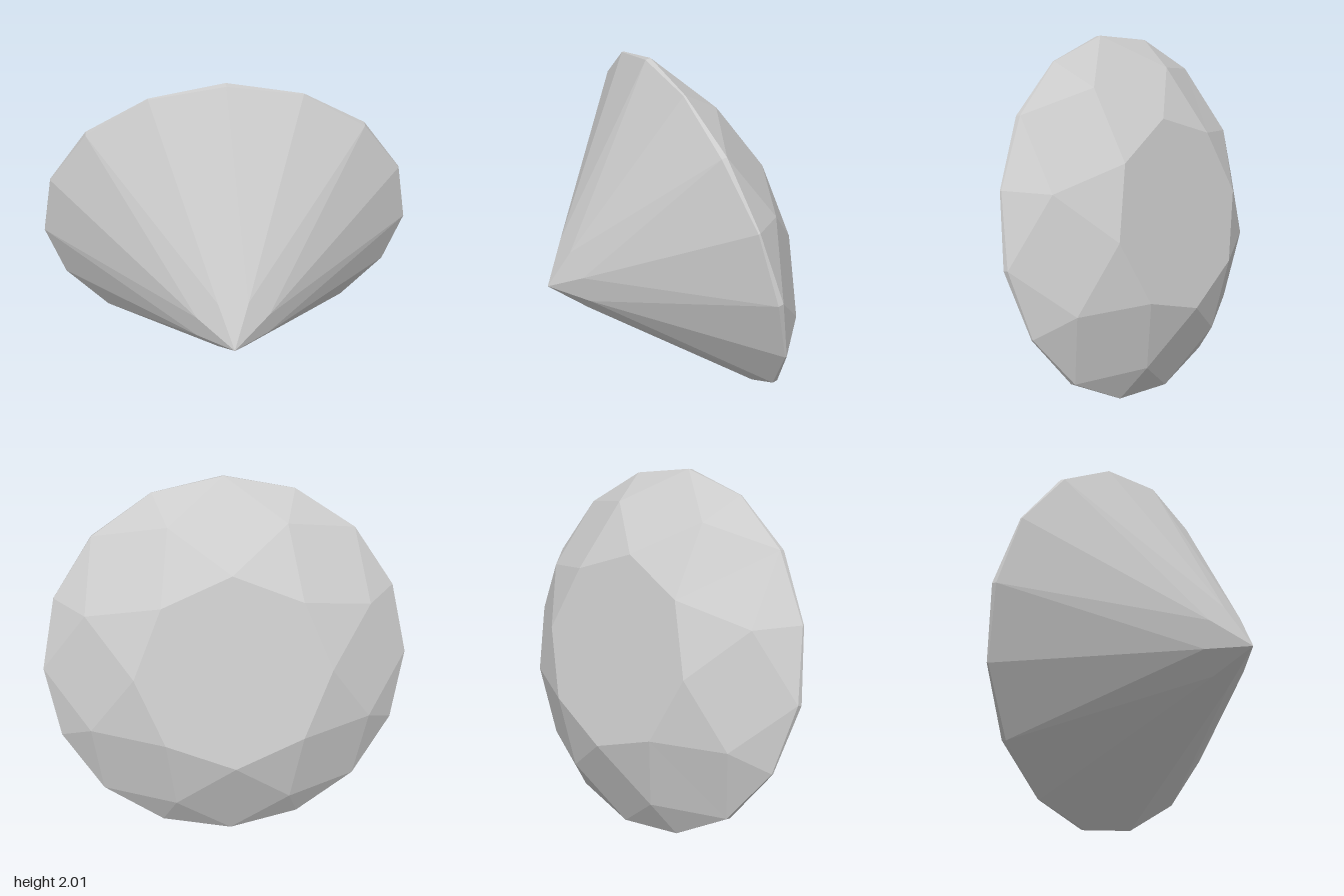
import * as THREE from 'three';

// Brilliant-cut gem: heights are measured along its axis from the pointed tip.
const STEP = Math.PI / 8;
const R = 1.03;
const point = (radius, height, step) =>
  new THREE.Vector3(radius * Math.cos(step * STEP), height, -radius * Math.sin(step * STEP));

const tip = new THREE.Vector3(0, 0, 0);
const table = (s) => point(0.54, 1.241, s);          // even steps
const star = (s) => point(0.847, 1.078, s);          // odd steps
const girdleTop = (s) => point(R, s % 2 ? 0.902 : 0.911, s);
const girdleLow = (s) => point(R, s % 2 ? 0.892 : 0.882, s);
const lowerStar = (s) => point(0.2 * R, 0.2 * 0.882 * Math.cos(STEP), s); // odd steps

// Each facet is a convex polygon, turned so that it faces away from the core.
const core = new THREE.Vector3(0, 0.8, 0);
function facets(name, polygons, material) {
  const positions = [];
  for (const poly of polygons) {
    for (let i = 1; i < poly.length - 1; i++) {
      const [a, b, c] = [poly[0], poly[i], poly[i + 1]];
      const normal = b.clone().sub(a).cross(c.clone().sub(a));
      const outward = normal.dot(a.clone().sub(core)) > 0;
      for (const p of outward ? [a, b, c] : [a, c, b]) positions.push(p.x, p.y, p.z);
    }
  }
  const geometry = new THREE.BufferGeometry();
  geometry.setAttribute('position', new THREE.Float32BufferAttribute(positions, 3));
  geometry.computeVertexNormals();
  const mesh = new THREE.Mesh(geometry, material);
  mesh.name = name;
  return mesh;
}

export function createModel() {
  const material = new THREE.MeshStandardMaterial({ color: 0xcccccc, flatShading: true });
  const parts = {
    tableFacet: [[]], starFacets: [], kiteFacets: [], upperGirdleFacets: [],
    girdle: [], lowerGirdleFacets: [], pavilionMains: [],
  };

  for (let s = 0; s < 16; s += 2) {
    // Crown
    parts.tableFacet[0].push(table(s));
    parts.starFacets.push([table(s), table(s + 2), star(s + 1)]);
    parts.kiteFacets.push([table(s), star(s - 1), girdleTop(s), star(s + 1)]);
    // Pavilion
    parts.pavilionMains.push([tip, lowerStar(s - 1), girdleLow(s), lowerStar(s + 1)]);
    // Half facets and the thin scalloped girdle on both sides of this step
    for (const d of [-1, 1]) {
      const odd = s + d;
      parts.upperGirdleFacets.push([star(odd), girdleTop(s), girdleTop(odd)]);
      parts.girdle.push([girdleTop(s), girdleTop(odd), girdleLow(odd), girdleLow(s)]);
      parts.lowerGirdleFacets.push([lowerStar(odd), girdleLow(s), girdleLow(odd)]);
    }
  }

  const gem = new THREE.Group();
  gem.name = 'gem';
  for (const [name, polygons] of Object.entries(parts)) gem.add(facets(name, polygons, material));

  // Tilt the axis, with one girdle corner turned toward the left side
  const axis = new THREE.Vector3(0.522, 0.234, -0.82).normalize();
  const side = new THREE.Vector3(0.85, 0.009, 0.527);
  side.addScaledVector(axis, -side.dot(axis)).normalize();
  const third = side.clone().cross(axis);
  gem.quaternion.setFromRotationMatrix(new THREE.Matrix4().makeBasis(side, axis, third));
  gem.position.set(-0.465, 0.795, 0.68);

  const model = new THREE.Group();
  model.name = 'cutGem';
  model.add(gem);
  return model;
}
